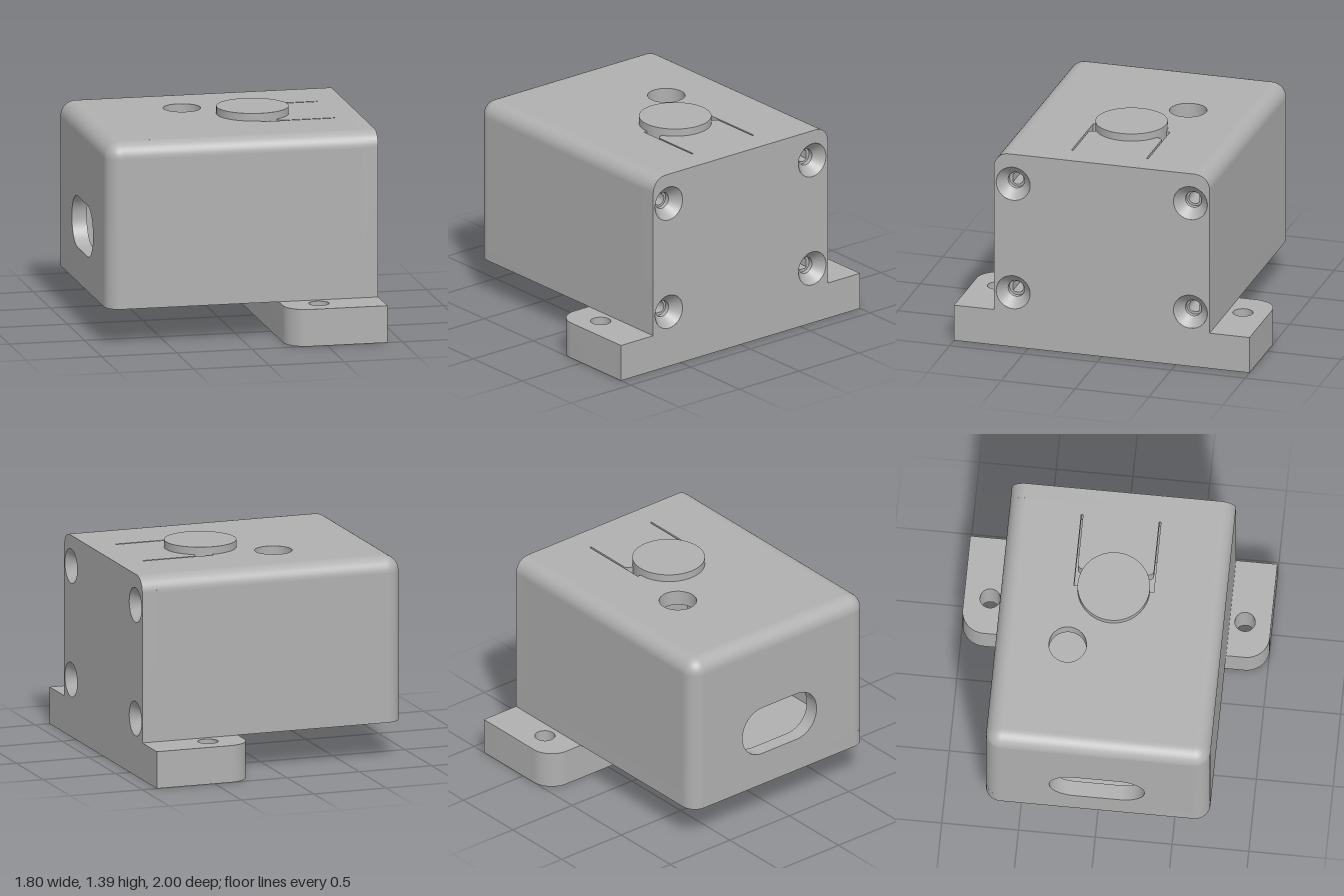
import * as THREE from 'three';
import { toCreasedNormals } from 'three/addons/utils/BufferGeometryUtils.js';

const R = 0.1; // edge radius and wall thickness
const X0 = -0.9, X1 = 0.9, Z1 = 0.73, Y0 = 0.245, Y1 = 1.34;
const Q = Math.PI / 2;

// Polygon whose corners are [x, y, radius]
function roundedPoly(corners, target = new THREE.Shape()) {
  const n = corners.length;
  corners.forEach(([x, y, r = 0], i) => {
    const toward = ([px, py]) => {
      const d = Math.hypot(px - x, py - y);
      return [x + (px - x) * r / d, y + (py - y) * r / d];
    };
    const a = toward(corners[(i + n - 1) % n]), b = toward(corners[(i + 1) % n]);
    if (i === 0) target.moveTo(...a); else target.lineTo(...a);
    if (r > 0) {
      const k = 0.5523;
      target.bezierCurveTo(a[0] + (x - a[0]) * k, a[1] + (y - a[1]) * k,
        b[0] + (x - b[0]) * k, b[1] + (y - b[1]) * k, b[0], b[1]);
    }
  });
  target.closePath();
  return target;
}

const circle = (x, y, r) => new THREE.Path().absarc(x, y, r, 0, Math.PI * 2, true);

const extrude = (shape, depth) =>
  new THREE.ExtrudeGeometry(shape, { depth, bevelEnabled: false, curveSegments: 20 });

export function createModel() {
  const model = new THREE.Group();
  const grey = new THREE.MeshStandardMaterial({ color: 0xb0b0b0 });

  function add(name, geometry, x = 0, y = 0, z = 0) {
    const mesh = new THREE.Mesh(toCreasedNormals(geometry, 0.5), grey);
    mesh.name = name;
    mesh.position.set(x, y, z);
    model.add(mesh);
  }
  // Shape drawn in (x, -z), raised along y
  const slab = (name, shape, y, h) => add(name, extrude(shape, h).rotateX(-Q), 0, y, 0);
  // Shape drawn in (-z, y), raised along x
  const wall = (name, shape, x, t) => add(name, extrude(shape, t).rotateY(Q), x, 0, 0);

  // Top panel with round opening and the slits of the springy button tongue
  const zi = Z1 - R, xi = X0 + R, xe = X1 - R;
  const top = roundedPoly([[xi, -zi], [xe, -zi], [xe, zi], [xi, zi]]);
  top.holes.push(circle(-0.18, 0.26, 0.122));
  const slit = new THREE.Path();
  slit.moveTo(0.72, 0.26);
  slit.lineTo(0.23, 0.26);
  slit.lineTo(0.23, 0.235);
  slit.absarc(0.23, 0, 0.235, Q, 3 * Q, false);
  slit.lineTo(0.23, -0.26);
  slit.lineTo(0.72, -0.26);
  slit.lineTo(0.72, -0.248);
  slit.lineTo(0.38, -0.248);
  slit.quadraticCurveTo(0.35, -0.248, 0.345, -0.2);
  slit.lineTo(0.345, 0.2);
  slit.quadraticCurveTo(0.35, 0.248, 0.38, 0.248);
  slit.lineTo(0.72, 0.248);
  slit.closePath();
  top.holes.push(slit);
  slab('topPanel', top, Y1 - R, R);

  // Push button
  add('button', new THREE.CylinderGeometry(0.235, 0.235, 0.15, 64), 0.23, 1.315, 0);

  // Floor with rounded corners on the closed end
  slab('floor', roundedPoly([[X0, -Z1, R], [xe, -Z1], [xe, Z1], [X0, Z1, R]]), Y0, R);

  // Closed end wall with the cable slot
  const yb = Y0 + R, yt = Y1 - R, h = yt - yb;
  const endShape = roundedPoly([[-zi, yb], [zi, yb], [zi, yt], [-zi, yt]]);
  const sy = 0.645, sw = 0.31, sh = 0.17;
  endShape.holes.push(roundedPoly([[-sw, sy - sh, 0.165], [-sw, sy + sh, 0.165],
    [sw, sy + sh, 0.165], [sw, sy - sh, 0.165]], new THREE.Path()));
  wall('slottedEndWall', endShape, X0, R);

  // Side walls, rounded edges and corners
  const len = xe - xi;
  for (const s of [1, -1]) {
    add('sideWall', new THREE.BoxGeometry(len, h, R), (xi + xe) / 2, (yb + yt) / 2, s * (Z1 - R / 2));
    add('topSideEdge', new THREE.CylinderGeometry(R, R, len, 12, 1, true, s > 0 ? 0 : Q, Q).rotateZ(Q),
      (xi + xe) / 2, yt, s * zi);
    add('uprightEdge', new THREE.CylinderGeometry(R, R, h, 12, 1, true, s > 0 ? 3 * Q : 2 * Q, Q),
      xi, (yb + yt) / 2, s * zi);
    add('topCorner', new THREE.SphereGeometry(R, 12, 12, s > 0 ? 0 : 3 * Q, Q, 0, Q), xi, yt, s * zi);
  }
  add('topEndEdge', new THREE.CylinderGeometry(R, R, 2 * zi, 12, 1, true, 2 * Q, Q).rotateX(Q), xi, yt, 0);

  // End cover with four countersunk screw holes and posts behind them
  const cover = roundedPoly([[-Z1, Y0], [Z1, Y0], [Z1, Y1, R], [-Z1, Y1, R]]);
  const sink = [[0.115, 0], [0.055, -0.07], [0.055, -0.1], [0.04, -0.1], [0.04, -0.28], [0, -0.28]]
    .map(p => new THREE.Vector2(...p));
  for (const z of [-0.6, 0.6]) for (const y of [0.38, 1.135]) {
    cover.holes.push(circle(-z, y, 0.115));
    add('screwHole', new THREE.LatheGeometry(sink, 32).rotateZ(-Q), X1, y, z);
    add('screwPost', new THREE.CylinderGeometry(0.1, 0.1, 0.25, 32, 1, true).rotateZ(-Q), xe - 0.125, y, z);
    add('screwPostEnd', new THREE.CircleGeometry(0.1, 32).rotateY(-Q), xe - 0.25, y, z);
  }
  wall('endCover', cover, xe, R);

  // Mounting foot with two bolt holes
  const foot = roundedPoly([[0.24, -1, 0.15], [X1, -1], [X1, 1], [0.24, 1, 0.15]]);
  for (const s of [1, -1]) foot.holes.push(circle(0.484, s * 0.83, 0.066));
  slab('mountingFoot', foot, 0, Y0);

  return model;
}
